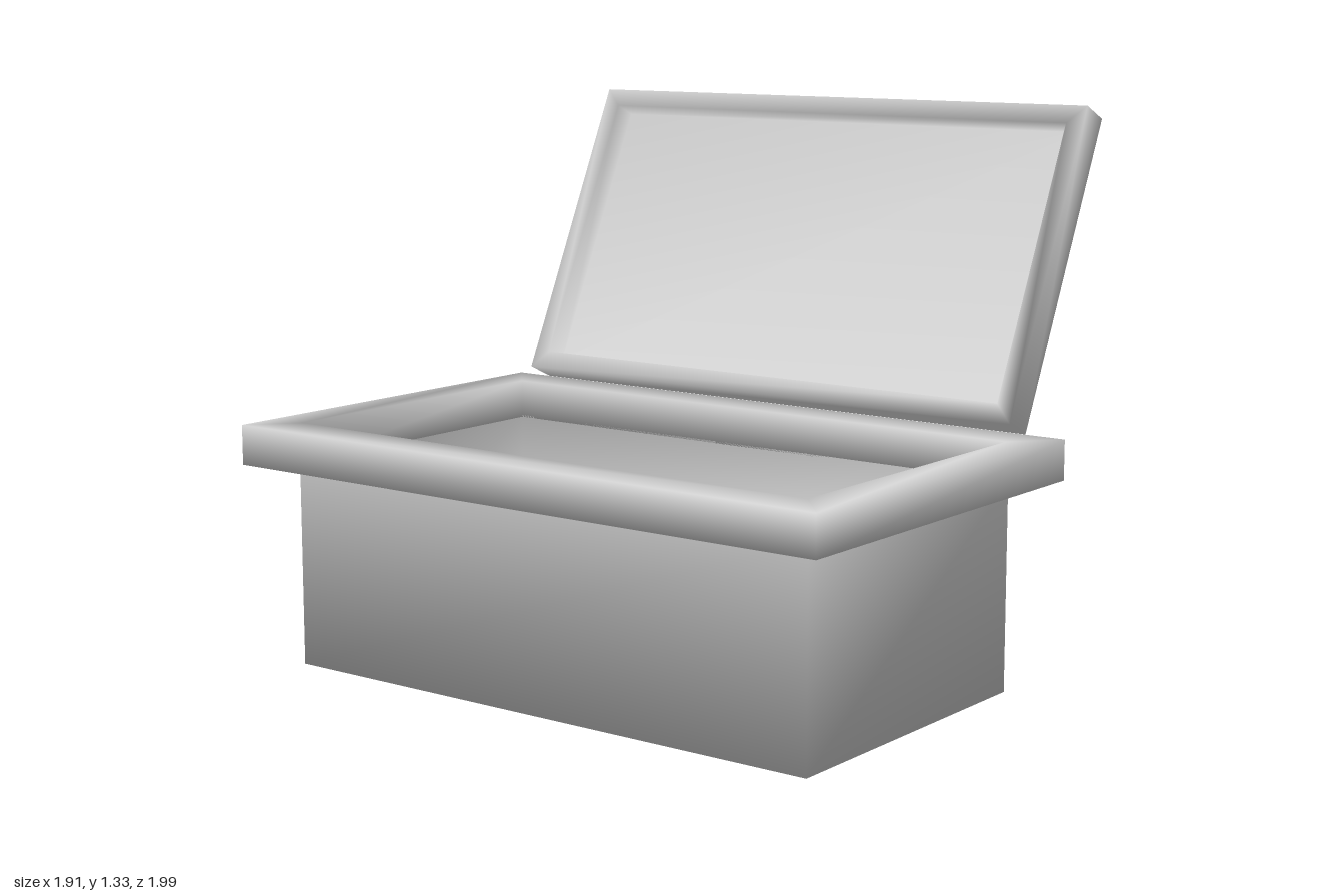
import * as THREE from 'three';
import { mergeVertices } from 'three/addons/utils/BufferGeometryUtils.js';

const material = new THREE.MeshStandardMaterial({ color: 0xcccccc });

function part(name, geometry, parent) {
  const mesh = new THREE.Mesh(geometry, material);
  mesh.name = name;
  parent.add(mesh);
  return mesh;
}

// Skin a list of rectangular loops [width, length, y]; either capped at both ends or closed into a ring.
// Corners are shared, so the shading runs softly over the edges.
function rectLoft(loops, closed = false) {
  const positions = [], index = [];
  for (const [w, l, y] of loops) {
    for (const [sx, sz] of [[1, 1], [1, -1], [-1, -1], [-1, 1]]) positions.push(sx * w / 2, y, sz * l / 2);
  }
  const n = loops.length;
  for (let k = 0; k < (closed ? n : n - 1); k++) {
    const lower = k * 4, upper = ((k + 1) % n) * 4;
    for (let i = 0; i < 4; i++) {
      const j = (i + 1) % 4;
      index.push(lower + i, lower + j, upper + j, lower + i, upper + j, upper + i);
    }
  }
  if (!closed) {
    const e = (n - 1) * 4;
    index.push(0, 2, 1, 0, 3, 2, e, e + 1, e + 2, e, e + 2, e + 3);
  }
  const geometry = new THREE.BufferGeometry();
  geometry.setAttribute('position', new THREE.Float32BufferAttribute(positions, 3));
  geometry.setIndex(index);
  geometry.computeVertexNormals();
  return geometry;
}

// Weld all corners and smooth the normals
function soften(geometry) {
  geometry.deleteAttribute('normal');
  geometry.deleteAttribute('uv');
  const welded = mergeVertices(geometry);
  welded.computeVertexNormals();
  return welded;
}

export function createModel() {
  const model = new THREE.Group();
  model.name = 'openChest';

  const chest = new THREE.Group();
  chest.name = 'chest';
  chest.position.set(-0.12, 0, 0.035);
  chest.rotation.y = Math.PI / 6;
  model.add(chest);

  // Thin-walled hollow body
  part('body', rectLoft([
    [0.8, 1.455, 0], [0.8, 1.455, 0.495], [0.79, 1.445, 0.495], [0.79, 1.445, 0.01],
  ]), chest);

  // Overhanging rim around the opening
  part('rim', rectLoft([
    [1, 1.63, 0.49], [1, 1.63, 0.585], [0.79, 1.445, 0.585], [0.79, 1.445, 0.49],
  ], true), chest);

  // Lid leaning back; its inner lower edge is the origin
  const lid = new THREE.Group();
  lid.name = 'lid';
  lid.position.set(0.424, 0.62, 0);
  lid.rotation.z = -25 * Math.PI / 180;
  chest.add(lid);

  // Shallow tray with its hollow side facing the opening
  const panel = part('lidPanel', rectLoft([
    [0.78, 1.43, 0], [0.78, 1.43, 0.08], [0.69, 1.34, 0.08], [0.69, 1.34, 0.02],
  ]), lid);
  panel.rotation.z = Math.PI / 2;
  panel.position.set(0.08, 0.39, 0);

  // Square-cut bracket handle on the outside of the lid
  const bracket = new THREE.Shape([
    [0, -0.25], [0.18, -0.25], [0.18, 0.25], [0, 0.25],
    [0, 0.17], [0.105, 0.17], [0.105, -0.17], [0, -0.17],
  ].map(([x, y]) => new THREE.Vector2(x, y)));
  const handle = part('handle', soften(new THREE.ExtrudeGeometry(bracket, { depth: 0.09, bevelEnabled: false })), lid);
  handle.rotation.x = Math.PI / 2;
  handle.position.set(0.08, 0.435, 0);

  return model;
}
